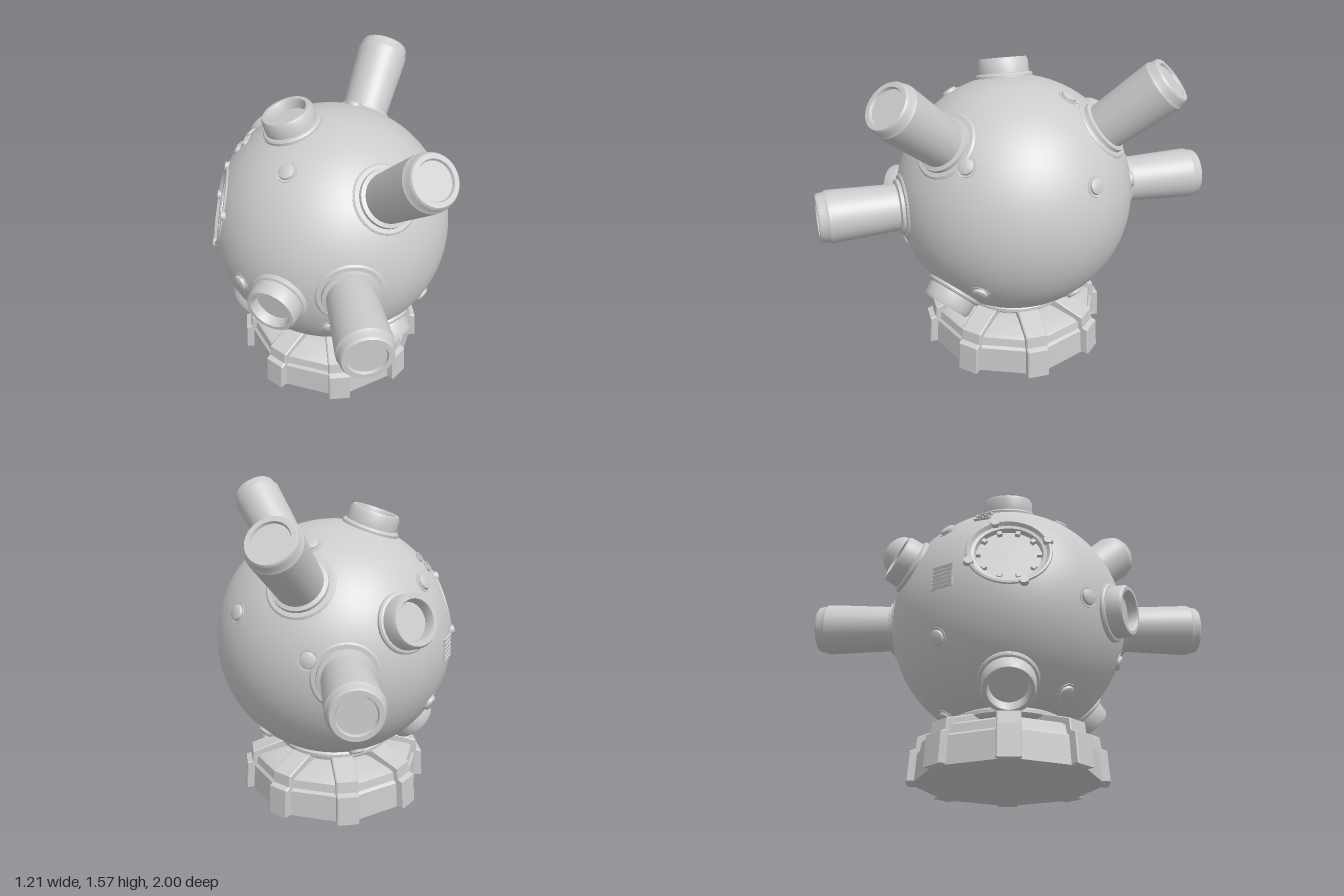
import * as THREE from 'three';
import { toCreasedNormals } from 'three/addons/utils/BufferGeometryUtils.js';

const CENTER = new THREE.Vector3(0, 0.83, 0);
const R = 0.6;
const UP = new THREE.Vector3(0, 1, 0);
const material = new THREE.MeshStandardMaterial({ color: 0xcccccc, side: THREE.DoubleSide });

const mesh = (geometry, name) => {
  const m = new THREE.Mesh(geometry, material);
  m.name = name;
  return m;
};

// Profile points are [radius, height]
const lathe = (points, sides) => toCreasedNormals(
  new THREE.LatheGeometry(points.map(p => new THREE.Vector2(p[0], p[1])), sides), 0.55);

// Turn an object so its y axis leaves the ball centre along dir
function radial(object, dir) {
  object.quaternion.setFromUnitVectors(UP, new THREE.Vector3(...dir).normalize());
  object.position.copy(CENTER);
  return object;
}

// Put an object built in the xy plane onto the ball surface
function onSurface(object, dir) {
  const d = new THREE.Vector3(...dir).normalize();
  object.lookAt(d);
  object.position.copy(CENTER).addScaledVector(d, R - 0.004);
  return object;
}

function capsule(Type, length, width) {
  const s = new Type(), h = (length - width) / 2, r = width / 2;
  s.absarc(h, 0, r, -Math.PI / 2, Math.PI / 2, false);
  s.absarc(-h, 0, r, Math.PI / 2, Math.PI * 1.5, false);
  s.closePath();
  return s;
}

// Round window set into the flat cut on the side
function createHatch() {
  const g = new THREE.Group();
  g.name = 'hatch';
  g.add(mesh(lathe([[0.205, 0.564], [0.202, 0.571], [0.192, 0.574], [0.178, 0.56],
    [0.162, 0.557], [0.155, 0.535], [0, 0.535]], 48), 'hatchFrame'));
  for (let i = 0; i < 10; i++) {
    const a = i / 10 * Math.PI * 2;
    const bolt = mesh(new THREE.BoxGeometry(0.022, 0.02, 0.022), 'hatchBolt');
    bolt.position.set(Math.sin(a) * 0.143, 0.544, Math.cos(a) * 0.143);
    bolt.rotation.y = a;
    g.add(bolt);
  }
  for (let i = 0; i < 4; i++) {
    const a = 0.35 + i * Math.PI / 2;
    const knob = mesh(new THREE.CylinderGeometry(0.022, 0.027, 0.03, 16), 'hatchKnob');
    knob.position.set(Math.sin(a) * 0.198, 0.565, Math.cos(a) * 0.198);
    g.add(knob);
  }
  return g;
}

// Eight-sided foot with stepped ribs on its corners
function createBase() {
  const g = new THREE.Group();
  g.name = 'base';
  g.add(mesh(lathe([[0, 0], [0.468, 0], [0.46, 0.135], [0.447, 0.148], [0.44, 0.19],
    [0.415, 0.205], [0.3, 0.235], [0.2, 0.24]], 8), 'basePlate'));
  g.add(mesh(lathe([[0.25, 0.2], [0.25, 0.255], [0.28, 0.263], [0.287, 0.27],
    [0.287, 0.288], [0.278, 0.296], [0.22, 0.296]], 48), 'neckRing'));

  const profile = [[0.2, 0.005], [0.48, 0.005], [0.471, 0.148], [0.445, 0.158],
    [0.438, 0.215], [0.405, 0.227], [0.29, 0.268], [0.2, 0.268]];
  const rib = new THREE.ExtrudeGeometry(new THREE.Shape(profile.map(p => new THREE.Vector2(...p))),
    { depth: 0.1, bevelEnabled: true, bevelSize: 0.005, bevelThickness: 0.006, bevelSegments: 1 });
  rib.translate(0, 0, -0.05);
  for (let i = 0; i < 8; i++) {
    const m = mesh(rib, 'baseRib');
    m.rotation.y = i * Math.PI / 4;
    g.add(m);
  }
  return g;
}

export function createModel() {
  const model = new THREE.Group();
  model.name = 'spikedBallOnStand';
  model.add(createBase());

  // Ball, with its pole at the hatch and left open there
  const hatchDir = [-0.969, 0.235, 0];
  const cut = Math.asin(0.205 / R);
  model.add(radial(mesh(new THREE.SphereGeometry(R, 96, 64, 0, Math.PI * 2, cut, Math.PI - cut), 'ball'), hatchDir));
  model.add(radial(createHatch(), hatchDir));

  // Long barrels, mirrored front to back
  const barrel = lathe([[0.166, 0.55], [0.166, 0.578], [0.158, 0.586], [0.138, 0.588],
    [0.136, 0.604], [0.117, 0.61], [0.13, 0.925], [0.13, 0.945], [0.122, 0.958],
    [0.119, 0.985], [0.112, 0.994], [0.09, 0.994], [0.085, 0.982], [0, 0.982]], 40);
  for (const side of [1, -1]) {
    model.add(radial(mesh(barrel, 'barrel'), [0.055, 0.012, side]));
    model.add(radial(mesh(barrel, 'raisedBarrel'), [0.36, 0.66, 0.66 * side]));
  }

  // Short open sockets
  const socket = lathe([[0.145, 0.57], [0.145, 0.594], [0.138, 0.602], [0.128, 0.605],
    [0.126, 0.665], [0.117, 0.68], [0.1, 0.68], [0.094, 0.67], [0.09, 0.63], [0, 0.63]], 40);
  for (const dir of [[-0.31, 0.95, 0], [-0.5, -0.1, 0.86], [-0.65, -0.76, 0],
    [0.38, -0.68, 0.63], [-0.42, 0.37, -0.82]]) {
    model.add(radial(mesh(socket, 'socket'), dir));
  }

  // Small studs scattered over the ball
  const stud = lathe([[0.052, 0.59], [0.05, 0.601], [0.04, 0.6], [0.037, 0.612],
    [0.03, 0.616], [0, 0.617]], 20);
  for (const dir of [[-0.224, 0.48, 0.27], [-0.06, -0.225, 0.55], [0.43, -0.29, 0.28],
    [-0.27, -0.465, 0.27], [0.37, 0.34, 0.32], [-0.47, -0.065, 0.37],
    [0.14, 0.53, -0.23], [0.49, 0.226, -0.25], [0.38, -0.42, -0.21],
    [0.2, 0.09, -0.56], [-0.38, 0.35, -0.3], [-0.43, -0.26, -0.33], [-0.07, -0.52, -0.3]]) {
    model.add(radial(mesh(stud, 'stud'), dir));
  }

  // Pair of rounded slots above the hatch
  const slotShape = capsule(THREE.Shape, 0.088, 0.042);
  slotShape.holes.push(capsule(THREE.Path, 0.072, 0.026));
  const slotGeometry = new THREE.ExtrudeGeometry(slotShape, { depth: 0.012, bevelEnabled: false, curveSegments: 8 });
  const slots = new THREE.Group();
  slots.name = 'slots';
  for (const y of [-0.03, 0.03]) {
    const m = mesh(slotGeometry, 'slot');
    m.position.y = y;
    slots.add(m);
  }
  model.add(onSurface(slots, [-0.43, 0.41, -0.125]));

  // Square slatted vent behind the hatch
  const vent = new THREE.Group();
  vent.name = 'vent';
  for (let i = 0; i < 6; i++) {
    const slat = mesh(new THREE.BoxGeometry(0.11, 0.013, 0.016), 'ventSlat');
    slat.position.y = (i - 2.5) * 0.021;
    slat.rotation.x = 0.3;
    vent.add(slat);
  }
  for (const x of [-0.057, 0.057]) {
    const post = mesh(new THREE.BoxGeometry(0.008, 0.124, 0.014), 'ventFrame');
    post.position.x = x;
    vent.add(post);
  }
  model.add(onSurface(vent, [-0.517, 0.017, -0.31]));

  return model;
}
